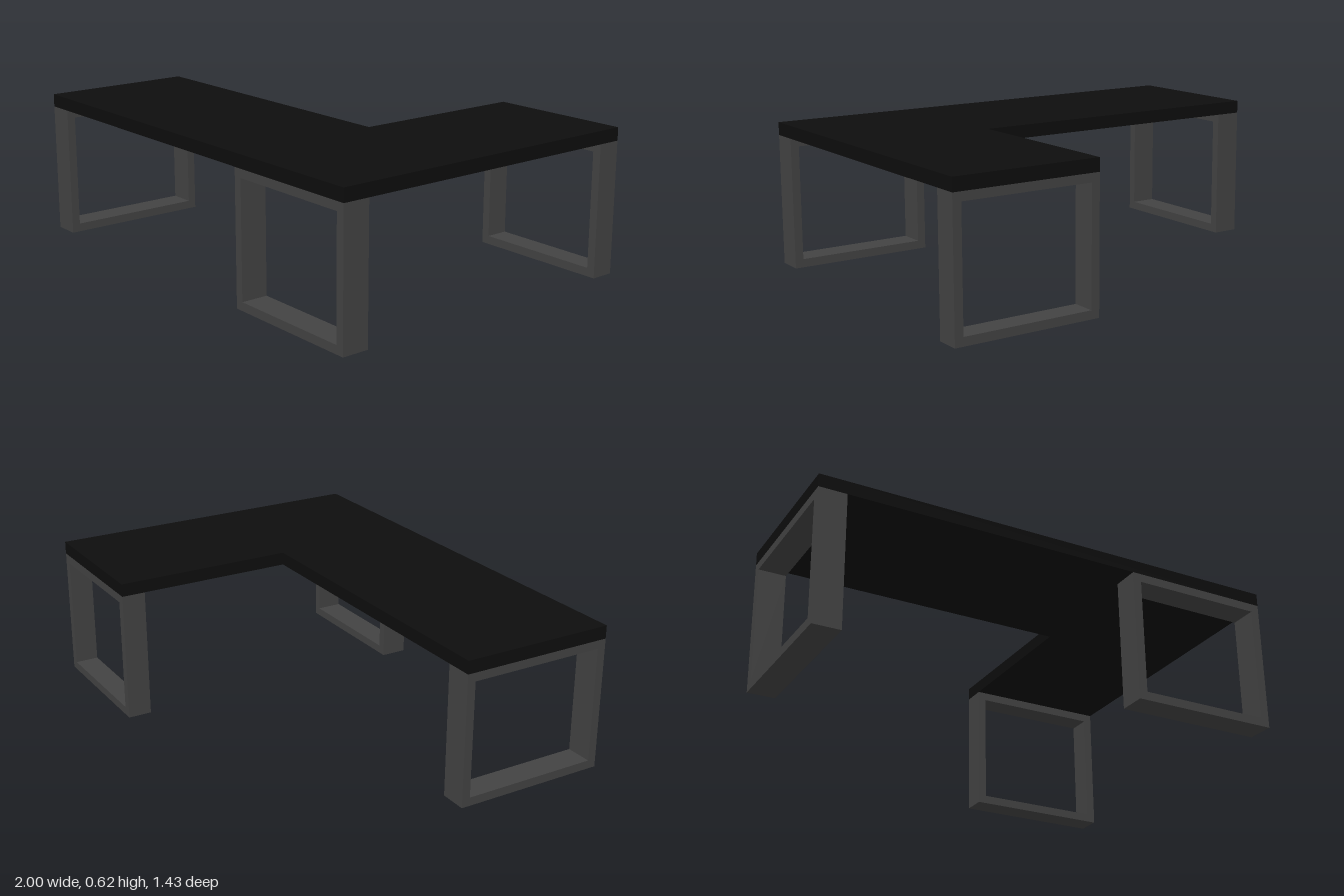
import * as THREE from 'three';

const TOP_Y = 0.615, LEG_H = 0.56, BAR = 0.036;

// Closed rectangular loop of flat bar, w wide and d deep, standing on y = 0
function frameGeometry(w, d) {
  const rect = (path, x0, y0, x1, y1) =>
    path.moveTo(x0, y0).lineTo(x1, y0).lineTo(x1, y1).lineTo(x0, y1).closePath();
  const shape = new THREE.Shape();
  rect(shape, -w / 2, 0, w / 2, LEG_H);
  const hole = new THREE.Path();
  rect(hole, -w / 2 + BAR, BAR, w / 2 - BAR, LEG_H - BAR);
  shape.holes.push(hole);
  return new THREE.ExtrudeGeometry(shape, { depth: d, bevelEnabled: false }).translate(0, 0, -d / 2);
}

export function createModel() {
  const model = new THREE.Group();
  model.name = 'cornerDesk';

  const blackTop = new THREE.MeshStandardMaterial({ color: 0x0d0d0d });
  blackTop.name = 'blackTop';
  const greyMetal = new THREE.MeshStandardMaterial({ color: 0x424242 });
  greyMetal.name = 'greyMetal';

  // L-shaped desktop, outline in x and -z
  const outline = new THREE.Shape([
    [-1, -0.715], [1, -0.715], [1, 0.715], [0.37, 0.715], [0.37, -0.055], [-1, -0.055],
  ].map(([x, y]) => new THREE.Vector2(x, y)));
  const topGeometry = new THREE.ExtrudeGeometry(outline, { depth: TOP_Y - LEG_H, bevelEnabled: false });
  topGeometry.rotateX(-Math.PI / 2).translate(0, LEG_H, 0);
  const desktop = new THREE.Mesh(topGeometry, blackTop);
  desktop.name = 'desktop';
  model.add(desktop);

  // Three loop legs: one under each end and one at the outer corner
  const legs = [
    ['frontLeg', 0.63, 0.115, 0.685, 0.6575, 0],
    ['backLeg', 0.63, 0.102, 0.685, -0.664, 0],
    ['rightLeg', 0.66, 0.116, -0.942, 0.385, Math.PI / 2],
  ];
  for (const [name, w, d, x, z, turn] of legs) {
    const leg = new THREE.Mesh(frameGeometry(w, d), greyMetal);
    leg.name = name;
    leg.position.set(x, 0, z);
    leg.rotation.y = turn;
    model.add(leg);
  }
  return model;
}
